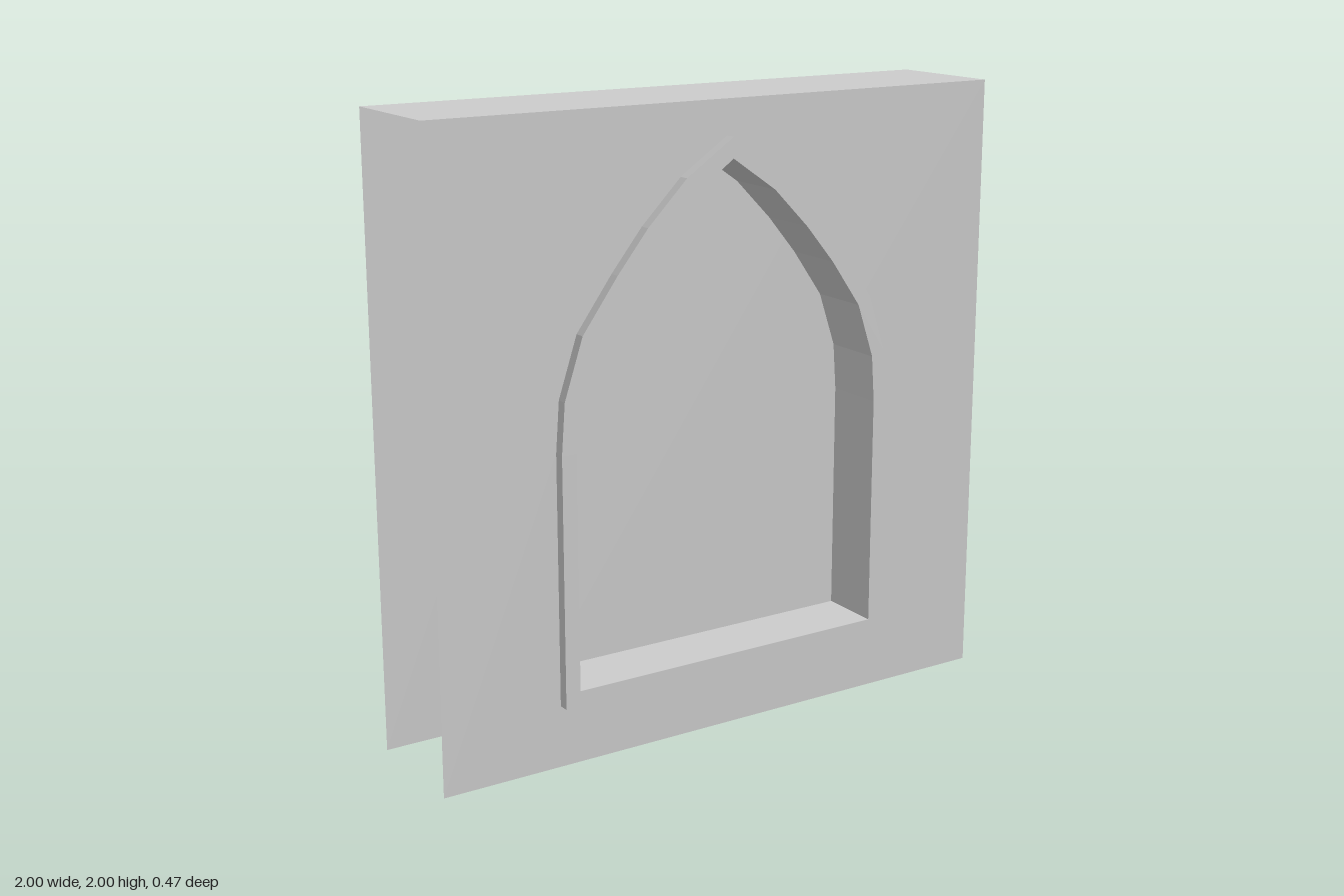
import * as THREE from 'three';

// Right half of the pointed arch, from the foot up to the apex
const OUTER = [[0.6, 0.2], [0.6, 1.0], [0.588, 1.16], [0.525, 1.35], [0.405, 1.515], [0.3, 1.645], [0.165, 1.78], [0, 1.89]];
const INNER = [[0.55, 0.25], [0.55, 1.0], [0.539, 1.15], [0.48, 1.325], [0.375, 1.475], [0.275, 1.595], [0.152, 1.72], [0, 1.825]];

// Mirrors a half profile into a closed outline
function archPoints(half) {
  const mirrored = half.slice(0, -1).reverse().map(([x, y]) => [-x, y]);
  return [...half, ...mirrored].map(([x, y]) => new THREE.Vector2(x, y));
}

export function createModel() {
  const group = new THREE.Group();
  const solid = new THREE.MeshStandardMaterial({ color: 0xcccccc, flatShading: true });
  const sheet = new THREE.MeshStandardMaterial({ color: 0xcccccc, flatShading: true, side: THREE.DoubleSide });

  const add = (name, geometry, material) => {
    const mesh = new THREE.Mesh(geometry, material);
    mesh.name = name;
    group.add(mesh);
    return mesh;
  };

  // Thin wall faces with an arched opening; ends and underside stay open
  const wall = new THREE.Shape([[-1, 0], [1, 0], [1, 2], [-1, 2]].map(([x, y]) => new THREE.Vector2(x, y)));
  wall.holes.push(new THREE.Path(archPoints(OUTER)));
  const wallGeometry = new THREE.ShapeGeometry(wall);
  add('wallFront', wallGeometry, sheet).position.z = 0.2;
  const back = add('wallBack', wallGeometry, sheet);
  back.position.z = -0.2;
  back.rotation.y = Math.PI;

  // Wall top
  const top = add('wallTop', new THREE.PlaneGeometry(2, 0.4), sheet);
  top.rotation.x = -Math.PI / 2;
  top.position.y = 2;

  // Window frame running through the wall and standing proud on both sides
  const ring = new THREE.Shape(archPoints(OUTER));
  ring.holes.push(new THREE.Path(archPoints(INNER)));
  const frame = new THREE.ExtrudeGeometry(ring, { depth: 0.47, bevelEnabled: false });
  frame.translate(0, 0, -0.235);
  add('windowFrame', frame, solid);

  // Pane set in the middle of the wall, wider than the opening
  add('windowPane', new THREE.BoxGeometry(1.3, 1.855, 0.06), solid).position.y = 1.0425;

  return group;
}
